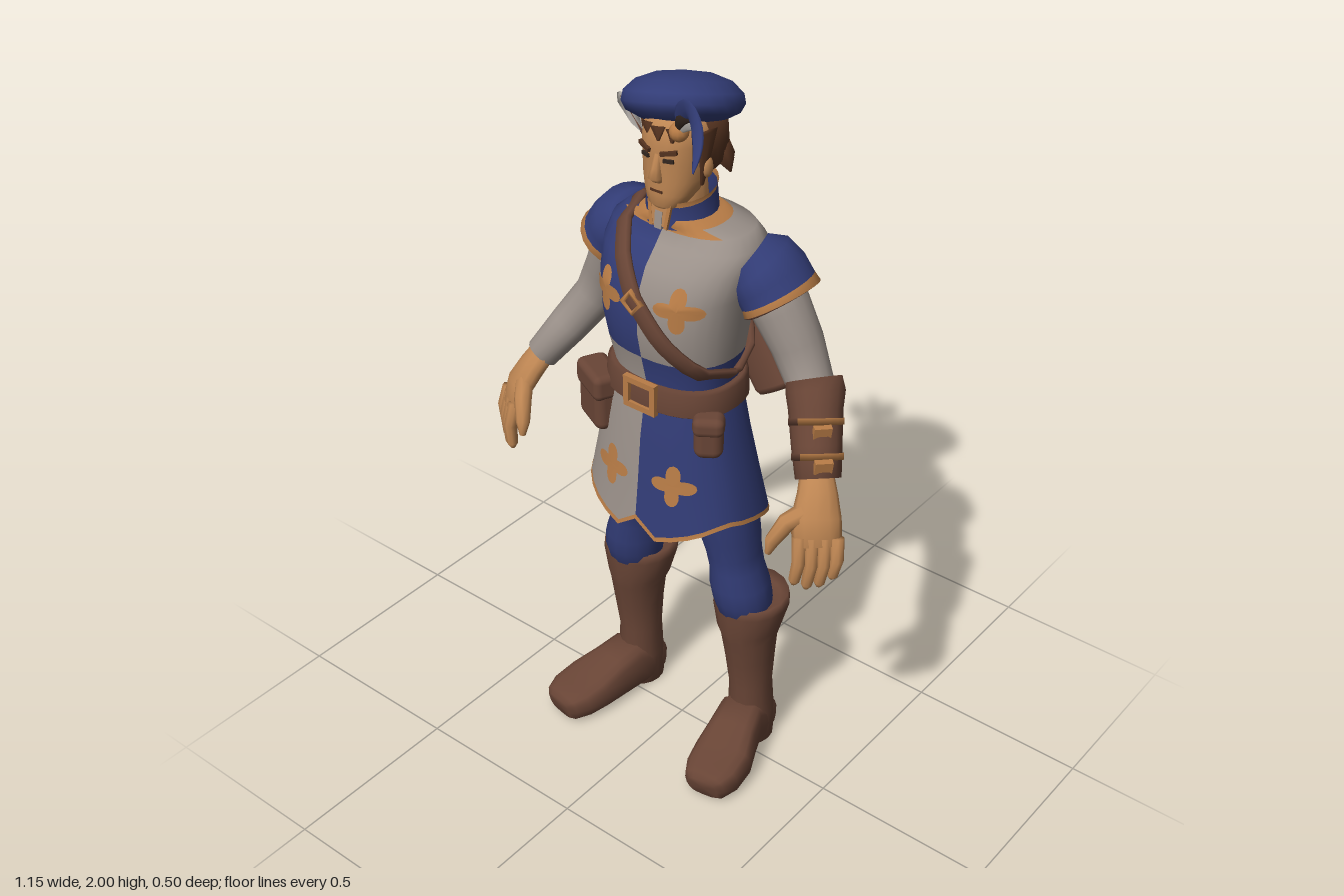
import * as THREE from 'three';
import { RoundedBoxGeometry } from 'three/addons/geometries/RoundedBoxGeometry.js';

const V = (x, y, z) => new THREE.Vector3(x, y, z);
const paint = (name, color) => {
  const m = new THREE.MeshStandardMaterial({ color, side: THREE.DoubleSide });
  m.name = name;
  return m;
};

// Skin over rings [x, y, z, rx, rz]; opt: n sides, p squareness, flat rings, ref axis for rz,
// caps, mat(row, angle) material index, warp(point, angle, row)
function loft(rings, opt = {}) {
  const { n = 16, p = 1, flat = false, ref = V(0, 0, 1), caps = true, mat = () => 0, warp } = opt;
  const c = rings.map(r => V(r[0], r[1], r[2])), pos = [], buckets = [], last = rings.length - 1;
  const pw = v => Math.sign(v) * Math.abs(v) ** p;
  rings.forEach((r, i) => {
    const T = flat ? V(0, 1, 0) : c[Math.min(i + 1, last)].clone().sub(c[Math.max(i - 1, 0)]).normalize();
    const u = T.clone().cross(ref).normalize(), w = u.clone().cross(T);
    for (let j = 0; j < n; j++) {
      const a = j / n * Math.PI * 2;
      const q = c[i].clone().addScaledVector(u, r[3] * pw(Math.sin(a))).addScaledVector(w, (r[4] ?? r[3]) * pw(Math.cos(a)));
      if (warp) warp(q, a, i);
      pos.push(q.x, Math.max(0, q.y), q.z);
    }
  });
  const put = (m, ...t) => (buckets[m] ??= []).push(...t);
  for (let i = 0; i < last; i++) for (let j = 0; j < n; j++) {
    const k = (j + 1) % n, a = i * n + j, b = i * n + k;
    put(mat(i, (j + 0.5) / n * Math.PI * 2), a, b, b + n, a, b + n, a + n);
  }
  if (caps) {
    pos.push(c[0].x, c[0].y, c[0].z, c[last].x, c[last].y, c[last].z);
    const e = rings.length * n;
    for (let j = 0; j < n; j++) {
      const k = (j + 1) % n;
      put(mat(0, 0), e, k, j);
      put(mat(last - 1, 0), e + 1, last * n + j, last * n + k);
    }
  }
  const g = new THREE.BufferGeometry();
  g.setAttribute('position', new THREE.Float32BufferAttribute(pos, 3));
  const index = [];
  buckets.forEach((b, m) => { g.addGroup(index.length, b.length, m); for (const v of b) index.push(v); });
  g.setIndex(index);
  g.computeVertexNormals();
  return g;
}

// Smooth feather vane along a curve
function vane(points, width) {
  const curve = new THREE.CatmullRomCurve3(points.map(q => V(...q)));
  const rings = curve.getPoints(14).map((q, i) => {
    const t = i / 14;
    return [q.x, q.y, q.z, .002 + width * Math.sin(Math.PI * t ** .8) ** .8, .002 + .004 * (1 - t)];
  });
  return loft(rings, { n: 8 });
}

// Body cross-sections [y, centre z, half width, half depth], bottom to top
const TORSO = [[1.13, .02, .165, .125], [1.2, .015, .165, .125], [1.285, .02, .18, .14], [1.36, .02, .19, .155],
  [1.46, .012, .2, .16], [1.53, -.01, .212, .15], [1.575, -.03, .208, .13], [1.605, -.035, .175, .11], [1.622, -.015, .115, .1], [1.64, -.008, .095, .088]];
const SKIRT = [[.8, .01, .25, .185], [.812, .01, .247, .182], [.92, .015, .225, .165], [1.05, .02, .197, .148], [1.17, .018, .172, .13]];
const P = .85;
function surfaceZ(t, x, y, side = 1) {
  let i = 0;
  while (i < t.length - 2 && y > t[i + 1][0]) i++;
  const f = THREE.MathUtils.clamp((y - t[i][0]) / (t[i + 1][0] - t[i][0]), 0, 1);
  const [, cz, rx, rz] = t[i].map((v, k) => v + (t[i + 1][k] - v) * f);
  const s = Math.min(1, Math.abs(x) / rx) ** (1 / P);
  return cz + side * rz * Math.max(0, 1 - s * s) ** (P / 2);
}

export function createModel() {
  const model = new THREE.Group();
  const blue = paint('blue cloth', 0x323c76), grey = paint('grey cloth', 0x9b918a), brown = paint('brown leather', 0x694536),
    skin = paint('skin', 0xbd8552), gold = paint('gold trim', 0xb87c46), hair = paint('dark hair', 0x54321f),
    pale = paint('pale fletching', 0xb3aea8), dark = paint('dark detail', 0x33261f);
  const add = (name, geo, mat, pos, rot) => {
    const m = new THREE.Mesh(geo, mat);
    m.name = name;
    if (pos) m.position.set(...pos);
    if (rot) m.rotation.set(...rot);
    model.add(m);
  };
  const box = (x, y, z) => new THREE.BoxGeometry(x, y, z);
  const rows = (t, grow = 0) => t.map(([y, z, rx, rz]) => [0, y, z, rx + grow, rz + grow]);

  // Quartered tunic with a gold neckline, deeper in front
  add('tunic', loft(rows(TORSO), { n: 32, p: P, flat: true,
    mat: (i, a) => i >= 8 || (i === 7 && Math.cos(a) > .6) ? 2 : (i < 2) === (a < Math.PI) ? 0 : 1 }), [blue, grey, gold]);

  // Skirt: hem rises at the sides, dips at the back, notched in front
  const hem = a => {
    const d = Math.min(a, Math.PI * 2 - a);
    if (d < .1) return .81;
    return d < 1.1 ? .755 + (d - .1) * .08 : .835 - .125 * ((d - 1.1) / 2.04) ** 1.2;
  };
  const skirtOpt = { n: 32, p: P, flat: true, caps: false,
    warp: (q, a, i) => { q.y += (hem(a) - .8) * Math.min(1, (1.17 - SKIRT[i][0]) / .35); } };
  add('skirt', loft(rows(SKIRT), { ...skirtOpt, mat: (i, a) => i === 0 ? 2 : a > 5.1 ? 1 : 0 }), [blue, grey, gold]);
  add('skirtLining', loft(rows(SKIRT, -.006), skirtOpt), brown);

  // Four-lobed emblems laid on the cloth
  for (const [x, y, table] of [[-.11, 1.44, TORSO], [.11, 1.45, TORSO], [-.09, .935, SKIRT], [.105, .945, SKIRT]]) {
    const g = new THREE.RingGeometry(.001, 1, 40, 4), a = g.attributes.position;
    for (let i = 0; i < a.count; i++) {
      const t = Math.atan2(a.getY(i), a.getX(i)), r = .026 + .033 * Math.abs(Math.cos(2 * t)) ** 1.4;
      const px = x + a.getX(i) * r, py = y + a.getY(i) * r;
      a.setXYZ(i, px, py, surfaceZ(table, px, py) + .006);
    }
    g.computeVertexNormals();
    add('emblem', g, gold);
  }

  // Belt, buckle and pouches
  add('belt', loft([[0, 1.14, .018, .184, .142], [0, 1.145, .018, .19, .148], [0, 1.205, .016, .185, .145], [0, 1.21, .016, .176, .136]],
    { n: 32, p: P, flat: true }), brown);
  for (const s of [-1, 1]) {
    add('buckleSide', box(.016, .085, .016), gold, [s * .042, 1.177, .165]);
    add('buckleBar', box(.1, .016, .016), gold, [0, 1.177 + s * .036, .165]);
  }
  for (const [x, y, z, w, h, d, r] of [[-.18, 1.085, .112, .13, .165, .075, -.45], [.175, 1.1, .112, .075, .12, .055, .6]]) {
    add('pouch', new RoundedBoxGeometry(w, h, d, 3, .025), brown, [x, y, z], [0, r, 0]);
    add('pouchFlap', new RoundedBoxGeometry(w + .006, h * .45, d + .01, 2, .02), brown, [x, y + h * .29, z], [0, r, 0]);
  }

  // Shoulder strap in a slanted loop around the chest
  for (const side of [1, -1]) {
    const path = [];
    for (let k = 0; k <= 14; k++) {
      const x = -.14 + k * .0225, y = 1.45 - 1.2 * x;
      path.push([x, y, surfaceZ(TORSO, x, y, side) + side * .008, .027, .01]);
    }
    add('strap', loft(path, { n: 8, p: .6 }), brown);
  }
  add('strapBuckle', new THREE.TorusGeometry(.028, .009, 6, 4), gold, [-.005, 1.45, .185], [0, 0, .1]);

  // Quiver and arrows
  const base = V(.17, 1.1, -.185), mouth = V(-.19, 1.655, -.19), axis = mouth.clone().sub(base).normalize();
  const along = (t, rx, rz) => [...base.clone().lerp(mouth, t).toArray(), rx, rz];
  add('quiver', loft([along(-.01, .058, .038), along(.015, .064, .044), along(.5, .066, .046), along(.88, .07, .047), along(.89, .076, .051),
    along(.98, .078, .052), along(1, .072, .047), along(.97, .062, .038)], { p: .72 }), brown);
  const across = V(axis.y, -axis.x, 0);
  for (let k = 0; k < 7; k++) {
    const o = (k - 3) / 3, zo = [-.012, .022, -.024, .012, -.016, .024, -.004][k];
    const a = mouth.clone().addScaledVector(across, o * .045).add(V(0, 0, zo));
    const b = a.clone().addScaledVector(axis, .14 + (k * 3 % 4) * .012).addScaledVector(across, o * .035 + .015).add(V(0, 0, zo * .9));
    const at = (t, rx, rz) => [...a.clone().lerp(b, t).toArray(), rx, rz];
    add('arrowShaft', loft([at(-.1, .0045), at(1, .0045)], { n: 6 }), brown);
    for (const [w, d] of [[1, .15], [.15, 1]])
      add('fletching', loft([at(.4, .003 * w, .003 * d), at(.6, .018 * w, .018 * d), at(.95, .02 * w, .02 * d), at(1.06, .006 * w, .006 * d)], { n: 4 }), pale);
  }

  for (const s of [-1, 1]) {
    const m = list => list.map(([x, ...r]) => [x * s, ...r]);
    // Capped shoulder with gold edge and leather facing, and sleeve
    add('shoulderCap', loft(m([[.18, 1.548, -.04, .055, .075], [.203, 1.53, -.048, .082, .1], [.226, 1.497, -.058, .092, .107],
      [.248, 1.463, -.062, .094, .106], [.261, 1.444, -.062, .098, .11], [.264, 1.44, -.062, .09, .102]]),
      { n: 20, mat: i => Math.max(0, i - 2) }), [blue, gold, brown]);
    add('sleeve', loft(m([[.2, 1.5, -.05, .07], [.255, 1.42, -.065, .075], [.3, 1.33, -.075, .068], [.345, 1.24, -.07, .06],
      [.4, 1.15, -.02, .055], [.455, 1.06, .035, .046]])), grey);
    // Hand with fingers and thumb
    const e = V(-.8 * s, 0, .6);
    add('palm', loft(m([[.447, 1.075, .032, .033, .04], [.47, 1.03, .058, .034, .05], [.49, .98, .088, .033, .062], [.508, .915, .105, .024, .062]]), { ref: e, n: 12 }), skin);
    for (let k = 0; k < 4; k++) {
      const q = V(.51 * s, .94, .105).addScaledVector(e, (k - 1.5) * .031), drop = [.115, .14, .148, .135][k];
      add('finger', loft([[q.x, q.y, q.z, .018], [q.x + .01 * s, q.y - drop * .5, q.z + .012, .018],
        [q.x + .002 * s, q.y - drop * .9, q.z + .016, .015], [q.x, q.y - drop, q.z + .017, .006]], { n: 8 }), skin);
    }
    add('thumb', loft(m([[.472, 1.0, .09, .026], [.437, .97, .138, .024], [.415, .92, .165, .019], [.41, .885, .174, .008]]), { n: 8 }), skin);
    // Leg with bunched knee, boot shaft with cuff, and foot
    add('leg', loft(m([[.195, .42, -.045, .07, .075], [.19, .52, -.025, .08, .083], [.183, .57, -.02, .08, .084], [.174, .625, -.017, .07, .079],
      [.165, .67, -.015, .071, .08], [.155, .73, -.01, .08, .086], [.14, .85, 0, .083, .095], [.1, 1.08, .01, .085, .1]]), { flat: true }), blue);
    add('bootShaft', loft(m([[.202, 0, -.065, .06, .066], [.202, .1, -.06, .063, .068], [.2, .2, -.058, .06, .062], [.2, .3, -.053, .067, .074],
      [.198, .38, -.05, .076, .084], [.195, .41, -.052, .086, .094], [.195, .485, -.06, .104, .108], [.195, .515, -.058, .1, .104], [.195, .5, -.055, .08, .085]]), { flat: true }), brown);
    add('bootFoot', loft(m([[.2, .05, -.115, .05, .05], [.203, .06, -.05, .063, .06], [.208, .078, -.005, .066, .078], [.222, .067, .05, .072, .067],
      [.243, .053, .12, .084, .053], [.255, .045, .185, .08, .045], [.26, .041, .225, .062, .041], [.262, .038, .237, .045, .034]]), { ref: V(0, 1, 0), p: .62 }), brown);
    // Ear, sideburn, eye and brow
    add('ear', new THREE.SphereGeometry(.022, 10, 8).scale(.5, 1.2, .8), skin, [s * .087, 1.77, .012]);
    add('sideburn', loft(m([[.078, 1.725, .022, .004, .006], [.082, 1.77, .02, .009, .013], [.083, 1.86, .01, .012, .04]]), { n: 8, flat: true }), hair);
    add('eye', box(.026, .009, .008), dark, [s * .034, 1.798, .092], [0, s * .35, 0]);
    add('brow', box(.042, .01, .009), hair, [s * .036, 1.819, .094], [0, s * .35, s * .2]);
  }

  // Bracer with buckled bands on the left forearm, gold on their outer half
  add('bracer', loft([[.362, 1.255, -.064, .07], [.376, 1.23, -.053, .074], [.392, 1.195, -.033, .068], [.425, 1.12, .004, .063], [.457, 1.055, .038, .057]]), brown);
  for (const [x, y, z, r] of [[.404, 1.17, -.02, .069], [.437, 1.1, .016, .065]]) {
    add('bracerBand', loft([[x - .003, y + .007, z - .0035, r], [x + .003, y - .007, z + .0035, r]], { mat: (i, a) => a > Math.PI ? 1 : 0 }), [brown, gold]);
    add('bracerBuckle', box(.045, .034, .016), gold, [x + r * .7, y + .012, z + r * .64], [.25, .85, -.25]);
  }

  // Neck, collar and throat opening
  add('neck', loft([[0, 1.58, -.01, .065], [0, 1.74, 0, .06]], { flat: true }), skin);
  add('collar', loft([[0, 1.615, -.005, .1, .094], [0, 1.64, -.002, .09, .088], [0, 1.688, 0, .086, .086], [0, 1.702, 0, .089, .089]],
    { n: 20, flat: true, caps: false, mat: i => i === 2 ? 1 : 0, warp: (q, a, i) => { if (i > 1) q.y -= .018 * Math.cos(a); } }), [blue, gold]);
  add('throat', box(.05, .06, .008), skin, [0, 1.65, .084], [-.1, 0, 0]);
  add('shirtFront', box(.022, .045, .008), grey, [0, 1.635, .087], [-.1, 0, 0]);
  for (const s of [-1, 1]) add('collarEdge', box(.01, .065, .008), gold, [s * .026, 1.648, .085], [-.1, 0, -s * .15]);

  // Head and face
  add('head', loft([[0, 1.662, .058, .03, .026], [0, 1.675, .052, .048, .044], [0, 1.705, .034, .066, .063], [0, 1.74, .02, .077, .077],
    [0, 1.785, .012, .082, .084], [0, 1.83, .008, .084, .09], [0, 1.89, 0, .08, .085]], { n: 20, p: .9, flat: true }), skin);
  add('nose', loft([[0, 1.738, .094, .016, .01], [0, 1.75, .099, .018, .019], [0, 1.775, .095, .012, .015], [0, 1.81, .09, .009, .008]], { n: 8, flat: true }), skin);
  add('mouth', box(.036, .006, .008), hair, [0, 1.714, .094]);

  // Hair with ragged ends
  add('hair', loft([[0, 1.732, -.05, .058, .04], [0, 1.76, -.045, .084, .073], [0, 1.81, -.036, .092, .088], [0, 1.88, -.03, .09, .09]], { n: 18, flat: true }), hair);
  for (let k = 0; k < 7; k++) {
    const a = Math.PI + (k - 3) * .4, x = Math.sin(a), z = Math.cos(a);
    add('hairTuft', loft([[x * .07, 1.79, -.04 + z * .06, .024], [x * .086, 1.755, -.04 + z * .08, .02], [x * .096, 1.725, -.04 + z * .094, .002]], { n: 6 }), hair);
  }
  for (let k = -1; k <= 1; k++)
    add('fringe', loft([[k * .034, 1.875, .086 - k * k * .008, .024, .012], [k * .034 + .006, 1.843, .094 - k * k * .008, .004, .003]], { n: 6 }), hair);

  // Beret, button and feathers
  const hat = [[.078, -.058], [.1, -.05], [.136, -.032], [.148, -.01], [.143, .014], [.115, .04], [.065, .058], [0, .063]];
  add('beret', new THREE.LatheGeometry(hat.map(q => new THREE.Vector2(...q)), 24), blue, [-.02, 1.902, -.03], [-.31, 0, .2]);
  add('beretButton', new THREE.SphereGeometry(.024, 12, 8), gold, [.072, 1.887, .1]);
  add('feather', vane([[.075, 1.895, .105], [.095, 1.945, .122], [.14, 1.976, .15], [.19, 1.962, .185], [.213, 1.925, .21], [.222, 1.88, .238]], .023), blue);
  add('smallFeather', vane([[.075, 1.89, .105], [.105, 1.92, .115], [.14, 1.932, .125], [.168, 1.92, .14]], .015), pale);
  add('smallFeather', vane([[.075, 1.89, .105], [.09, 1.925, .12], [.12, 1.945, .13], [.15, 1.945, .14]], .012), dark);
  return model;
}
